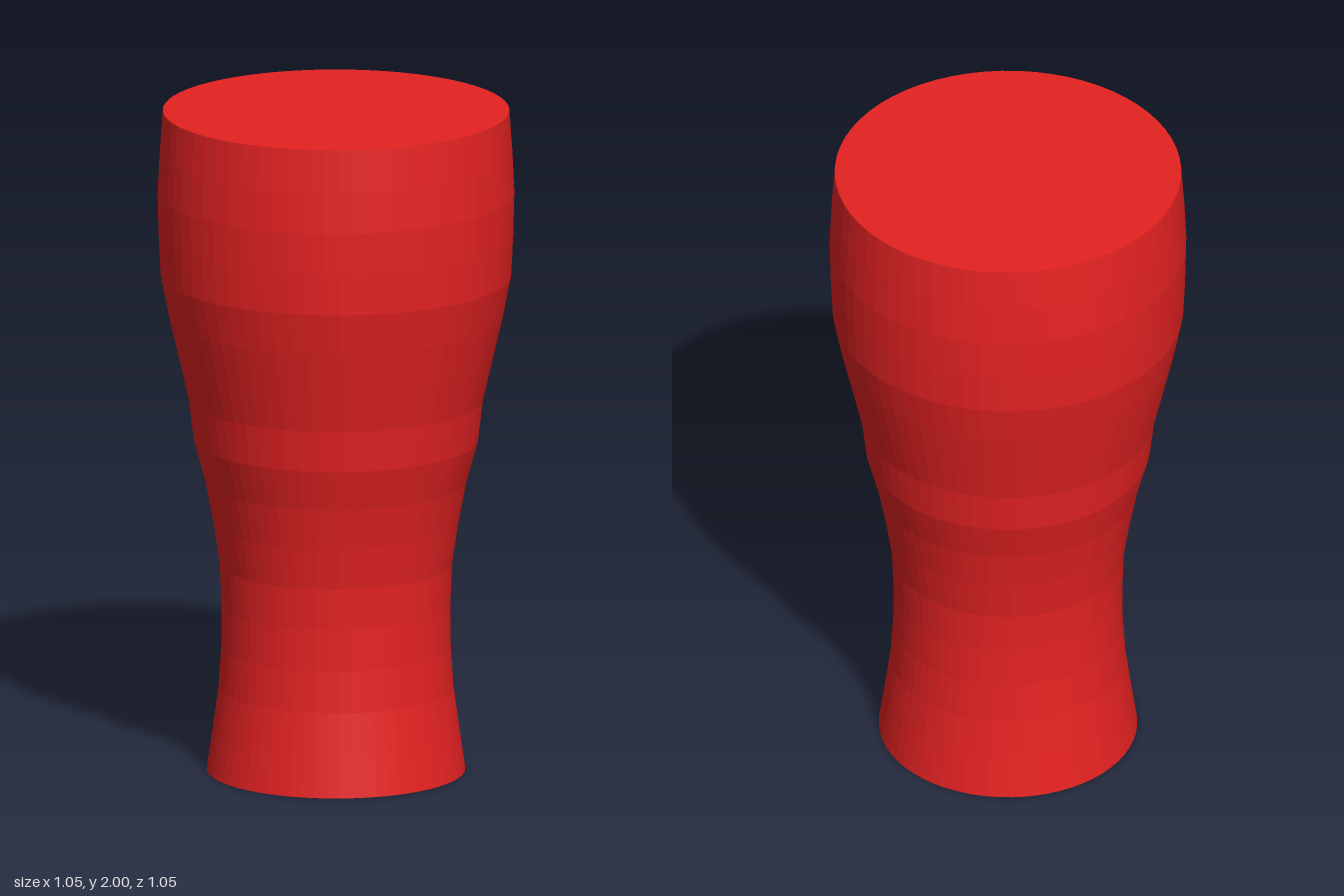
import * as THREE from 'three';

export function createModel() {
  const group = new THREE.Group();
  group.name = 'pintGlass';

  // Radii of the waisted wall, at equal steps of height from foot to rim
  const radii = [
    0.382, 0.364, 0.347, 0.339, 0.338, 0.343, 0.362, 0.386, 0.42,
    0.435, 0.464, 0.493, 0.518, 0.524, 0.527, 0.521, 0.512,
  ];
  const height = 2;
  const wall = radii.map((r, i) => new THREE.Vector2(r, (height * i) / (radii.length - 1)));

  // Closed solid: flat base, wall, flat top
  const profile = [new THREE.Vector2(0, 0), ...wall, new THREE.Vector2(0, height)];
  const material = new THREE.MeshStandardMaterial({ color: 0xe62222, flatShading: true });
  const body = new THREE.Mesh(new THREE.LatheGeometry(profile, 64), material);
  body.name = 'glassBody';
  group.add(body);

  return group;
}
